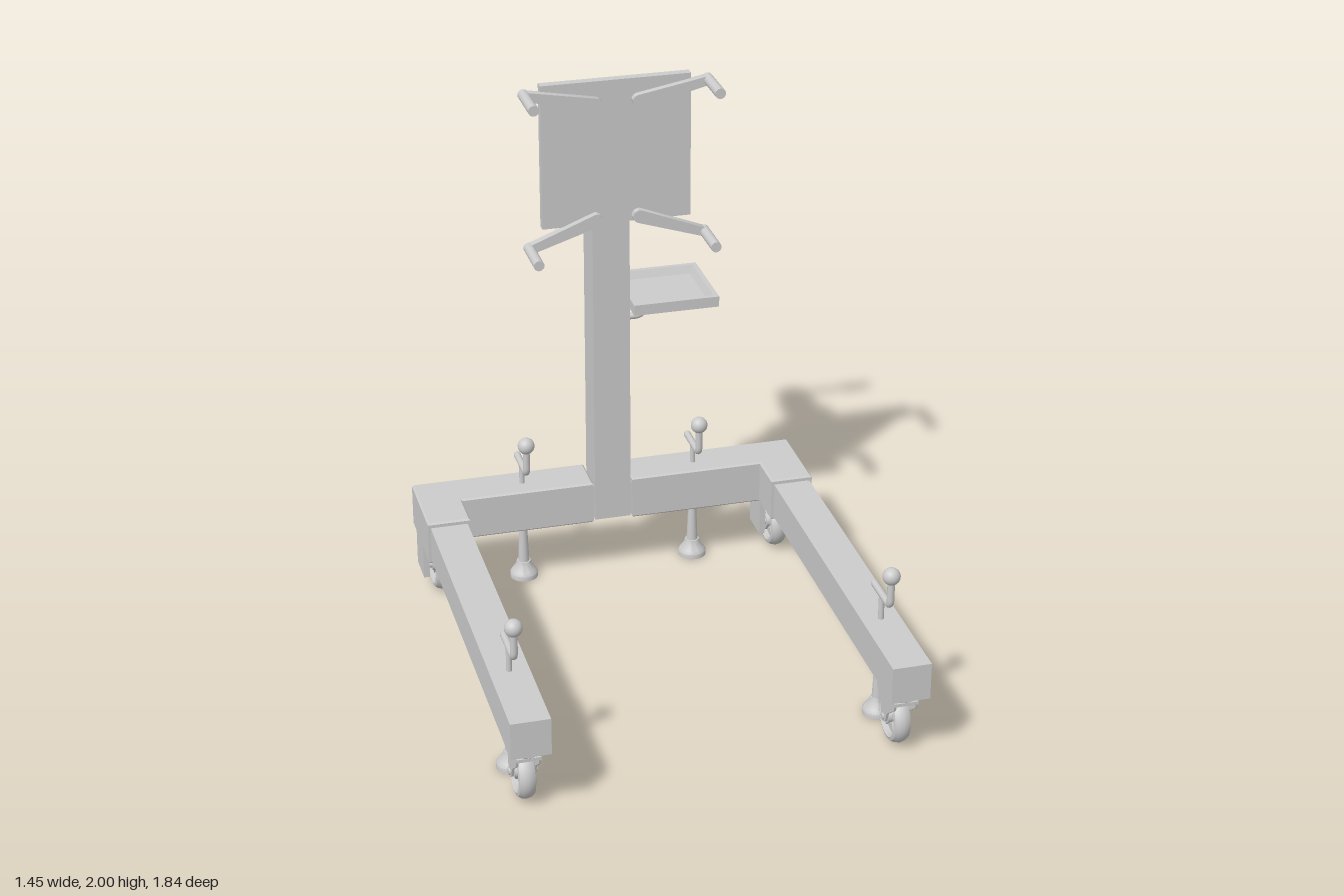
import * as THREE from 'three';
import { toCreasedNormals } from 'three/addons/utils/BufferGeometryUtils.js';

const mat = new THREE.MeshStandardMaterial({ color: 0xcccccc, side: THREE.DoubleSide });
const V = (x, y, z) => new THREE.Vector3(x, y, z);

function add(parent, name, geo, x = 0, y = 0, z = 0) {
  const m = new THREE.Mesh(geo, mat);
  m.name = name;
  m.position.set(x, y, z);
  parent.add(m);
  return m;
}

// Box given by its min and max corners
function box(parent, name, [x0, x1], [y0, y1], [z0, z1]) {
  return add(parent, name, new THREE.BoxGeometry(x1 - x0, y1 - y0, z1 - z0),
    (x0 + x1) / 2, (y0 + y1) / 2, (z0 + z1) / 2);
}

// Round bar from a to b
function rod(parent, name, a, b, ra, rb = ra) {
  const m = add(parent, name, new THREE.CylinderGeometry(rb, ra, a.distanceTo(b), 20));
  m.position.copy(a).lerp(b, 0.5);
  m.quaternion.setFromUnitVectors(V(0, 1, 0), b.clone().sub(a).normalize());
  return m;
}

// Turned part from [radius, height] pairs
function lathe(points, segments = 32) {
  return toCreasedNormals(new THREE.LatheGeometry(points.map(p => new THREE.Vector2(...p)), segments), 0.6);
}

function polygon(points) {
  return new THREE.Shape(points.map(p => new THREE.Vector2(...p)));
}

// Wheel with rounded tyre, recessed web, spokes and hub; axle along x
function wheel(parent, x, y, z) {
  const g = new THREE.Group();
  g.name = 'wheel';
  g.position.set(x, y, z);
  parent.add(g);
  const tyre = lathe([[0.068, -0.024], [0.075, -0.03], [0.086, -0.027], [0.094, -0.015], [0.097, 0],
    [0.094, 0.015], [0.086, 0.027], [0.075, 0.03], [0.068, 0.024], [0.068, -0.024]], 40);
  add(g, 'tyre', tyre.rotateZ(Math.PI / 2));
  add(g, 'web', new THREE.CylinderGeometry(0.07, 0.07, 0.02, 32).rotateZ(Math.PI / 2));
  add(g, 'hub', new THREE.CylinderGeometry(0.025, 0.025, 0.06, 24).rotateZ(Math.PI / 2));
  for (let i = 0; i < 5; i++) {
    const spoke = new THREE.BoxGeometry(0.036, 0.052, 0.014).translate(0, 0.044, 0);
    add(g, 'spoke', spoke).rotation.x = i * Math.PI * 2 / 5;
  }
}

// Screw jack with foot and cranked handle
function jack(parent, x, z) {
  const g = new THREE.Group();
  g.name = 'levelingJack';
  g.position.set(x, 0, z);
  parent.add(g);
  add(g, 'jackFoot', lathe([[0, 0], [0.052, 0], [0.052, 0.018], [0.044, 0.03], [0.03, 0.05], [0.026, 0.066], [0, 0.066]]));
  rod(g, 'jackScrew', V(0, 0.06, 0), V(0, 0.24, 0), 0.021, 0.014);
  rod(g, 'jackSpindle', V(0, 0.23, 0), V(0, 0.475, 0), 0.01);
  const path = new THREE.CurvePath();
  path.add(new THREE.LineCurve3(V(0, 0.473, -0.075), V(0, 0.473, 0.06)));
  path.add(new THREE.QuadraticBezierCurve3(V(0, 0.473, 0.06), V(0, 0.473, 0.086), V(0, 0.5, 0.086)));
  path.add(new THREE.LineCurve3(V(0, 0.5, 0.086), V(0, 0.57, 0.086)));
  add(g, 'crankArm', new THREE.TubeGeometry(path, 40, 0.013, 12));
  add(g, 'crankEnd', new THREE.SphereGeometry(0.013, 12, 8), 0, 0.473, -0.075);
  add(g, 'crankKnob', new THREE.SphereGeometry(0.031, 24, 16), 0, 0.59, 0.086);
}

// Swivel caster under the leg tip, with fork and brake pedal
function swivelCaster(parent, x) {
  const g = new THREE.Group();
  g.name = 'swivelCaster';
  parent.add(g);
  wheel(g, x, 0.1, 0.775);
  add(g, 'swivelBearing', lathe([[0, 0], [0.036, 0], [0.05, 0.012], [0.05, 0.024], [0.04, 0.028], [0.04, 0.04], [0, 0.04]]), x, 0.205, 0.84);
  // Side plates drawn as (-z, y)
  const side = polygon([[-0.885, 0.212], [-0.7, 0.212], [-0.7, 0.185], [-0.745, 0.15], [-0.755, 0.09],
    [-0.775, 0.078], [-0.795, 0.09], [-0.81, 0.13], [-0.875, 0.18]]);
  for (const s of [-1, 1]) {
    const plate = new THREE.ExtrudeGeometry(side, { depth: 0.008, bevelEnabled: false });
    add(g, 'forkSide', plate.rotateY(Math.PI / 2), x + s * 0.038 - 0.004, 0, 0);
  }
  box(g, 'forkCrown', [x - 0.042, x + 0.042], [0.2, 0.212], [0.7, 0.885]);
  box(g, 'brakePedal', [x - 0.03, x + 0.03], [0.205, 0.215], [0.655, 0.71]);
  rod(g, 'axle', V(x - 0.048, 0.1, 0.775), V(x + 0.048, 0.1, 0.775), 0.012);
}

// Fixed caster under the corner
function fixedCaster(parent, x) {
  const g = new THREE.Group();
  g.name = 'fixedCaster';
  parent.add(g);
  wheel(g, x, 0.1, -0.64);
  for (const s of [-1, 1]) {
    const c = x + s * 0.06;
    box(g, 'forkPlate', [c - 0.011, c + 0.011], [0.08, 0.25], [-0.705, -0.58]);
  }
  rod(g, 'axle', V(x - 0.07, 0.1, -0.64), V(x + 0.07, 0.1, -0.64), 0.014);
}

// Mounting arm: tapered bar with round ends and a forward pin
function mountingArm(parent, a, b) {
  const g = new THREE.Group();
  g.name = 'mountingArm';
  parent.add(g);
  const len = Math.hypot(b[0] - a[0], b[1] - a[1]);
  const s = new THREE.Shape();
  s.absarc(0, 0, 0.024, Math.PI / 2, Math.PI * 1.5);
  s.absarc(len, 0, 0.016, -Math.PI / 2, Math.PI / 2);
  const bar = toCreasedNormals(new THREE.ExtrudeGeometry(s, { depth: 0.03, bevelEnabled: false, curveSegments: 16 }), 0.6);
  add(g, 'armBar', bar, a[0], a[1], -0.485).rotation.z = Math.atan2(b[1] - a[1], b[0] - a[0]);
  rod(g, 'armPin', V(b[0], b[1], -0.485), V(b[0], b[1], -0.317), 0.019);
}

export function createModel() {
  const root = new THREE.Group();
  root.name = 'engineStand';

  // Base frame
  for (const s of [-1, 1]) {
    const x = s * 0.648;
    const L = [[0.08, 0.72], [0.72, 0.72], [0.72, 0.42], [0.575, 0.42], [0.575, 0.57], [0.08, 0.57]]
      .map(([px, pz]) => [s * px, pz]);
    const corner = new THREE.ExtrudeGeometry(polygon(L),
      { depth: 0.153, bevelThickness: 0.006, bevelSize: 0.006, bevelSegments: 1 });
    add(root, 'cornerBeam', corner.rotateX(-Math.PI / 2), 0, 0.236, 0);
    box(root, 'leg', [x - 0.068, x + 0.068], [0.242, 0.377], [-0.45, 0.922]);
    swivelCaster(root, x);
    fixedCaster(root, x);
    jack(root, x, 0.6);
    jack(root, s * 0.328, -0.64);
  }
  box(root, 'crossTube', [-0.1, 0.1], [0.245, 0.375], [-0.695, -0.575]);
  box(root, 'column', [-0.068, 0.068], [0.24, 1.812], [-0.702, -0.565]);

  // Rotating head
  box(root, 'mountingPlate', [-0.268, 0.268], [1.47, 2], [-0.513, -0.48]);
  const flange = new THREE.CylinderGeometry(0.14, 0.03, 0.06, 4, 1).toNonIndexed();
  flange.rotateY(Math.PI / 4).rotateX(Math.PI / 2);
  flange.computeVertexNormals();
  add(root, 'plateFlange', flange, 0, 1.735, -0.54);
  for (const s of [-1, 1]) {
    mountingArm(root, [s * 0.078, 1.922], [s * 0.327, 1.975]);
    mountingArm(root, [s * 0.078, 1.492], [s * 0.318, 1.406]);
  }
  const barrel = lathe([[0, 0], [0.058, 0], [0.06, 0.02], [0.068, 0.05], [0.071, 0.08], [0.068, 0.11],
    [0.06, 0.145], [0.058, 0.16], [0.052, 0.16], [0.052, 0.222], [0, 0.222]]);
  add(root, 'gearbox', barrel.rotateX(-Math.PI / 2), 0, 1.735, -0.7);
  rod(root, 'handleShaft', V(0, 1.735, -0.892), V(0.24, 1.735, -0.892), 0.015);
  rod(root, 'handleTaper', V(0.22, 1.735, -0.892), V(0.245, 1.735, -0.892), 0.015, 0.024);
  rod(root, 'handleGrip', V(0.245, 1.735, -0.892), V(0.338, 1.735, -0.892), 0.024);

  // Tool tray: square dish with sloping inner walls
  const r2 = Math.SQRT2;
  const dish = new THREE.LatheGeometry([[0, 0], [0.159, 0], [0.159, 0.04], [0.142, 0.04], [0.128, 0.012], [0, 0.012]]
    .map(([r, y]) => new THREE.Vector2(r * r2, y)), 4).toNonIndexed();
  dish.rotateY(Math.PI / 4);
  dish.computeVertexNormals();
  add(root, 'toolTray', dish, 0.239, 1.067, -0.706);
  const bracket = new THREE.CurvePath();
  bracket.add(new THREE.LineCurve3(V(0.06, 1.017, -0.655), V(0.11, 1.017, -0.655)));
  bracket.add(new THREE.QuadraticBezierCurve3(V(0.11, 1.017, -0.655), V(0.15, 1.017, -0.655), V(0.15, 1.072, -0.655)));
  add(root, 'trayBracket', new THREE.TubeGeometry(bracket, 24, 0.012, 12));

  return root;
}
